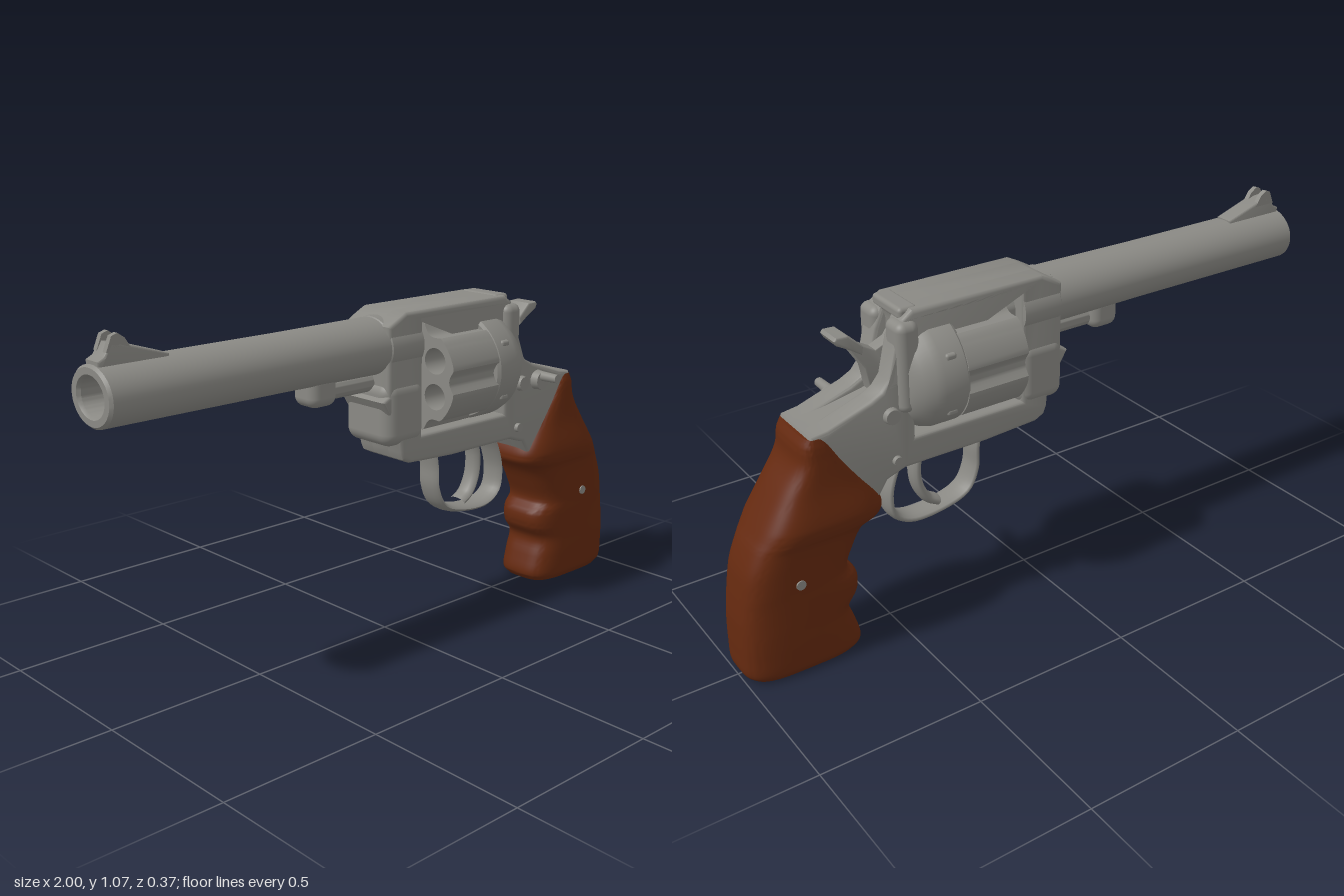
import * as THREE from 'three';
import { toCreasedNormals } from 'three/addons/utils/BufferGeometryUtils.js';
import { RoundedBoxGeometry } from 'three/addons/geometries/RoundedBoxGeometry.js';

export function createModel() {
  const model = new THREE.Group();
  const steel = new THREE.MeshStandardMaterial({ color: 0x8a8984 });
  steel.name = 'steel grey';
  const wood = new THREE.MeshStandardMaterial({ color: 0x64290f });
  wood.name = 'wood brown';

  const add = (name, geo, mat = steel, x = 0, y = 0, z = 0) => {
    const mesh = new THREE.Mesh(geo, mat);
    mesh.name = name;
    mesh.position.set(x, y, z);
    model.add(mesh);
    return mesh;
  };
  // Turned part along x; profile points are [radius, x]
  const turned = (profile, zScale = 1, segments = 48) => {
    const geo = new THREE.LatheGeometry(profile.map(p => new THREE.Vector2(...p)), segments);
    return toCreasedNormals(geo.rotateZ(-Math.PI / 2).scale(1, 1, zScale), 0.6);
  };
  const outline = pts => new THREE.Shape(pts.map(p => new THREE.Vector2(...p)));
  // Side outline extruded between two z values
  const slab = (shape, z0, z1, bevel = 0) => {
    const geo = new THREE.ExtrudeGeometry(shape, {
      depth: z1 - z0 - 2 * bevel, bevelEnabled: bevel > 0, bevelSize: bevel,
      bevelOffset: -bevel, bevelThickness: bevel, bevelSegments: 3, curveSegments: 16,
    });
    return toCreasedNormals(geo.translate(0, 0, z0 + bevel), 0.6);
  };
  // Bent bar along a side path, widened in z
  const bar = (pts, radius, zScale) => {
    const path = new THREE.CatmullRomCurve3(pts.map(p => new THREE.Vector3(p[0], p[1], 0)));
    const geo = new THREE.TubeGeometry(path, 48, radius, 12).scale(1, 1, zScale);
    geo.computeVertexNormals();
    return geo;
  };

  // Barrel with open bore, and its breech end in the frame window
  add('barrel', turned([[0, -0.75], [0.052, -0.75], [0.052, -0.99], [0.058, -1], [0.076, -1],
    [0.083, -0.992], [0.083, -0.4], [0.086, -0.06], [0.086, 0.03]], 1.16), steel, 0, 0.918);
  add('barrelBreech', turned([[0.058, 0], [0.058, 0.105], [0, 0.105]]), steel, 0, 0.915);

  // Front sight: ramp and two ears
  add('frontSightRamp', slab(outline([[-0.99, 0.98], [-0.78, 0.98], [-0.78, 1.004],
    [-0.92, 1.05], [-0.95, 1.053], [-0.97, 1.02], [-0.99, 1.01]]), -0.03, 0.03, 0.005));
  for (const s of [-1, 1])
    add('frontSightEar', slab(outline([[-0.965, 1.03], [-0.89, 1.03], [-0.91, 1.062],
      [-0.93, 1.076], [-0.948, 1.07]]), -0.008, 0.008), steel, 0, 0, s * 0.022);

  // Ejector rod and its lug below the barrel
  add('ejectorRod', turned([[0, -0.3], [0.03, -0.3], [0.03, 0.12], [0, 0.12]]), steel, 0, 0.812);
  add('ejectorLug', new RoundedBoxGeometry(0.1, 0.1, 0.1, 4, 0.03), steel, -0.272, 0.823);

  // Frame: two side plates and a core with a hammer groove at the back
  const front = [[-0.02, 0.6], [-0.025, 0.65], [-0.05, 0.69], [-0.095, 0.765], [-0.07, 0.78],
    [-0.07, 0.985], [-0.035, 1.005], [0, 1.022], [0.43, 1.022], [0.46, 1.0]];
  const back = [[0.705, 0.742], [0.755, 0.735], [0.772, 0.7], [0.77, 0.6], [0.65, 0.47], [0.57, 0.47],
    [0.53, 0.53], [0.47, 0.55], [0.2, 0.55], [0.02, 0.56], [-0.01, 0.575]];
  const frameShape = rear => {
    // Point order runs clockwise, so it is reversed for the shape
    const shape = outline([...front, ...rear, ...back].reverse());
    shape.holes.push(outline([[0.07, 0.64], [0.07, 0.985], [0.435, 0.985], [0.435, 0.64]]));
    return shape;
  };
  const cheek = frameShape([[0.485, 0.94], [0.51, 0.835], [0.535, 0.805], [0.57, 0.787]]);
  add('frameLeftPlate', slab(cheek, 0.022, 0.094, 0.012));
  add('frameRightPlate', slab(cheek, -0.094, -0.022, 0.012));
  add('frameCore', slab(frameShape([[0.45, 0.97], [0.45, 0.8], [0.54, 0.775]]), -0.036, 0.036));
  for (const s of [-1, 1])
    add('recoilPillar', new RoundedBoxGeometry(0.07, 0.27, 0.088, 4, 0.025), steel, 0.452, 0.86, s * 0.07);
  add('crane', new RoundedBoxGeometry(0.16, 0.2, 0.2, 4, 0.04), steel, 0, 0.72);
  add('barrelCollar', turned([[0.08, -0.07], [0.089, -0.06], [0.089, 0.065], [0.05, 0.07]], 1.16), steel, 0, 0.918);
  add('rearSight', new RoundedBoxGeometry(0.06, 0.035, 0.15, 3, 0.012), steel, 0.432, 1.008);

  // Fluted cylinder with six open chambers
  const drum = outline(Array.from({ length: 120 }, (_, i) => {
    const a = i / 120 * Math.PI * 2;
    const r = 0.172 - 0.022 * Math.max(0, Math.cos(6 * a) - 0.25) / 0.75;
    return [r * Math.cos(a), r * Math.sin(a)];
  }));
  for (let i = 0; i < 6; i++) {
    const a = (i + 0.5) * Math.PI / 3;
    const hole = new THREE.Path();
    hole.absarc(0.11 * Math.cos(a), 0.11 * Math.sin(a), 0.04, 0, Math.PI * 2, true);
    drum.holes.push(hole);
  }
  add('cylinderFront', slab(drum, 0.11, 0.31).rotateY(Math.PI / 2).scale(1, 1, 1.08), steel, 0, 0.807);
  add('cylinderRear', turned([[0, 0.305], [0.165, 0.305], [0.172, 0.315], [0.172, 0.385], [0.165, 0.41],
    [0.145, 0.44], [0.115, 0.462], [0, 0.465]], 1.08, 60), steel, 0, 0.807);
  for (let i = 0; i < 6; i++) {
    const a = (i + 0.5) * Math.PI / 3;
    add('cylinderNotch', new RoundedBoxGeometry(0.035, 0.02, 0.02, 2, 0.008), steel,
      0.355, 0.807 + 0.168 * Math.sin(a), 0.181 * Math.cos(a));
  }

  // Hammer with a wide thumb spur
  add('hammer', slab(outline([[0.44, 0.76], [0.53, 0.78], [0.545, 0.855], [0.59, 0.925],
    [0.6, 0.965], [0.545, 0.92], [0.51, 0.9], [0.44, 0.93]]), -0.022, 0.022, 0.004));
  add('hammerSpur', slab(outline([[0.56, 0.905], [0.59, 0.925], [0.634, 0.95], [0.642, 0.965],
    [0.635, 0.974], [0.6, 0.972], [0.555, 0.93]]), -0.042, 0.042, 0.006));

  // Trigger guard and trigger
  add('triggerGuard', bar([[0.18, 0.57], [0.193, 0.5], [0.197, 0.43], [0.23, 0.365], [0.32, 0.333],
    [0.43, 0.332], [0.48, 0.365], [0.492, 0.43], [0.475, 0.5], [0.44, 0.57]], 0.013, 3.2));
  add('trigger', bar([[0.37, 0.58], [0.392, 0.5], [0.388, 0.43], [0.36, 0.375], [0.325, 0.352]], 0.016, 1.9));

  // Cylinder latch, frame screws and grip screws
  const round = (r, depth) => new THREE.CylinderGeometry(r * 0.85, r, depth, 24).rotateX(Math.PI / 2);
  add('latchButton', round(0.034, 0.04), steel, 0.59, 0.73, 0.1);
  add('latchPin', round(0.016, 0.07), steel, 0.59, 0.745, 0.145);
  for (const s of [-1, 1]) {
    const screw = (name, r, x, y, z) => {
      add(name, round(r, 0.02), steel, x, y, s * z).rotation.y = s < 0 ? Math.PI : 0;
    };
    screw('frameScrew', 0.026, 0.512, 0.73, 0.1);
    screw('lowerFrameScrew', 0.016, 0.5, 0.585, 0.096);
    screw('gripScrew', 0.017, 0.83, 0.305, 0.104);
  }

  // Grip lofted upward from rows of [y, front x, back x, half width]
  const rows = [[0.003, 0.645, 0.98, 0.094], [0.025, 0.628, 0.998, 0.107], [0.09, 0.643, 1, 0.11],
    [0.15, 0.66, 0.998, 0.11], [0.2, 0.629, 0.995, 0.11], [0.25, 0.629, 0.988, 0.11],
    [0.285, 0.657, 0.982, 0.11], [0.35, 0.636, 0.968, 0.112], [0.415, 0.598, 0.94, 0.118],
    [0.448, 0.545, 0.92, 0.13], [0.485, 0.545, 0.898, 0.133], [0.57, 0.6, 0.845, 0.115],
    [0.65, 0.66, 0.793, 0.106], [0.7, 0.692, 0.782, 0.101], [0.727, 0.712, 0.768, 0.094]];
  const edges = new THREE.CatmullRomCurve3(rows.map(r => new THREE.Vector3(r[1], r[0], r[2])));
  const widths = new THREE.CatmullRomCurve3(rows.map((r, i) => new THREE.Vector3(i, r[3], 0)));
  const N = 64, M = 70, pos = [], idx = [];
  const power = (v, e) => Math.sign(v) * Math.abs(v) ** e;
  for (let j = 0; j <= M; j++) {
    const e = edges.getPoint(j / M), w = widths.getPoint(j / M).y;
    for (let i = 0; i < N; i++) {
      const a = i / N * Math.PI * 2;
      pos.push((e.x + e.z) / 2 + (e.z - e.x) / 2 * power(Math.cos(a), 0.55), e.y, w * power(Math.sin(a), 0.55));
      if (j < M) {
        const p = j * N + i, q = j * N + (i + 1) % N;
        idx.push(p, p + N, q, q, p + N, q + N);
      }
    }
  }
  const base = pos.length / 3;
  pos.push(0.81, rows[0][0], 0, 0.74, rows.at(-1)[0], 0);
  for (let i = 0; i < N; i++) {
    const k = (i + 1) % N;
    idx.push(base, i, k, base + 1, M * N + k, M * N + i);
  }
  const gripGeo = new THREE.BufferGeometry();
  gripGeo.setAttribute('position', new THREE.Float32BufferAttribute(pos, 3));
  gripGeo.setIndex(idx);
  add('grip', toCreasedNormals(gripGeo, 0.8), wood);

  return model;
}
